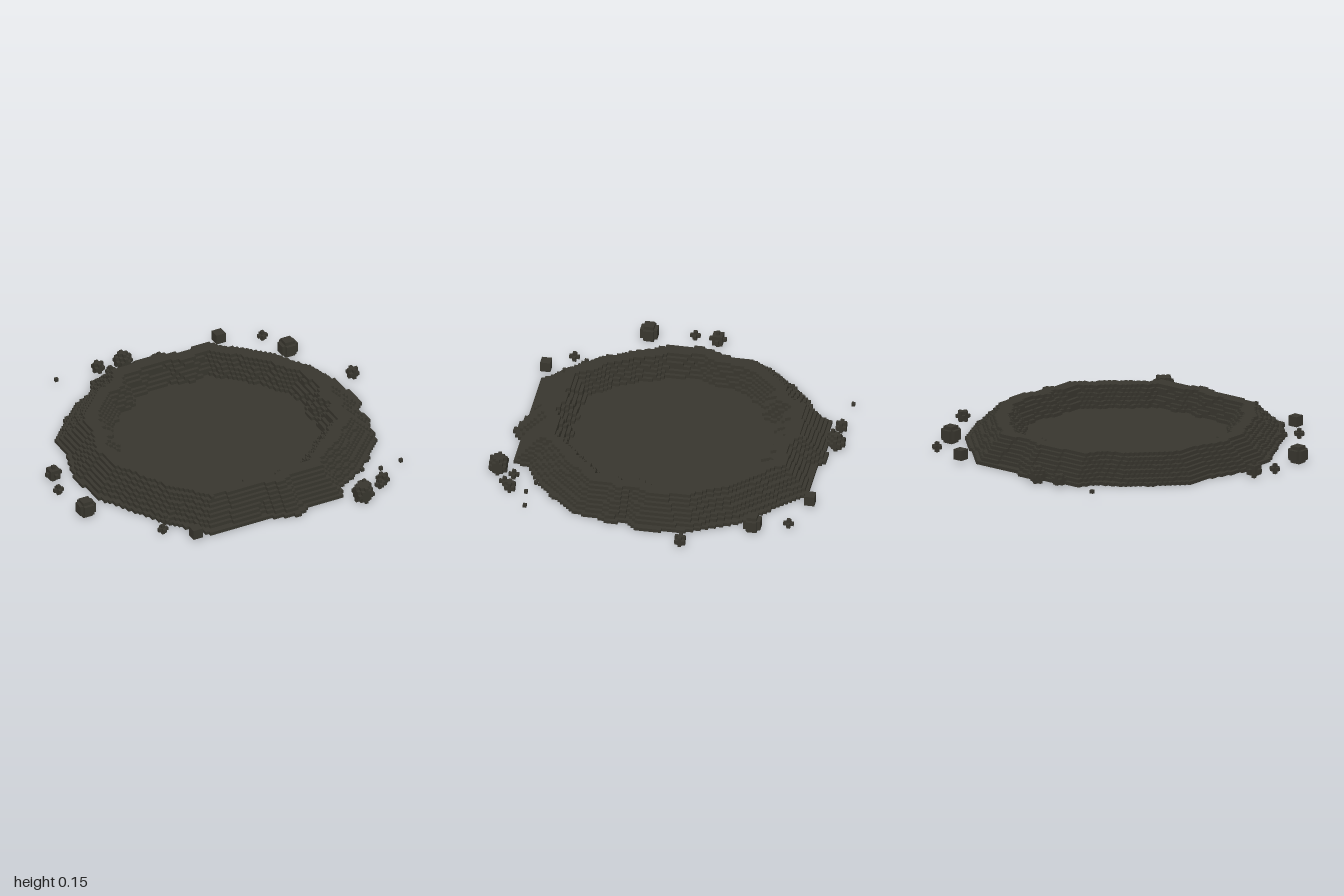
import * as THREE from 'three';

const V = 2 / 107;          // voxel edge
const LEVELS = 8;           // rim height in voxels
const FLOOR = 2;            // crater floor height in voxels

// crater footprint, x/z corners in order of rising angle (from -x round through -z)
const OUTLINE = [
  [-0.83, -0.02], [-0.80, -0.13], [-0.76, -0.25], [-0.76, -0.39], [-0.61, -0.55], [-0.50, -0.65],
  [-0.37, -0.72], [-0.31, -0.82], [-0.19, -0.82], [-0.08, -0.83], [0.04, -0.86], [0.11, -0.81],
  [0.37, -0.82], [0.47, -0.71], [0.62, -0.59], [0.71, -0.49], [0.78, -0.35], [0.84, -0.24],
  [0.86, -0.10], [0.86, 0.04], [0.81, 0.10], [0.84, 0.19], [0.80, 0.26], [0.78, 0.38],
  [0.65, 0.53], [0.55, 0.62], [0.39, 0.71], [0.36, 0.79], [0.15, 0.80], [0.07, 0.85],
  [-0.02, 0.82], [-0.10, 0.79], [-0.43, 0.79], [-0.60, 0.58], [-0.72, 0.36], [-0.81, 0.20],
];

// loose rocks: x, z, radius, centre height
const ROCKS = [
  [-0.25, -0.87, 0.034, 0.04], [-0.18, -0.84, 0.03, 0.03], [-0.09, -0.885, 0.05, 0.045],
  [0.47, -0.84, 0.04, 0.045], [0.685, -0.76, 0.024, 0.03], [0.755, -0.575, 0.052, 0.05],
  [0.955, -0.215, 0.035, 0.037], [-0.935, -0.07, 0.046, 0.05], [-0.975, 0.065, 0.03, 0.035],
  [-0.93, 0.30, 0.056, 0.05], [-0.645, 0.655, 0.026, 0.03], [-0.60, 0.58, 0.03, 0.03],
  [-0.515, 0.78, 0.041, 0.04], [0.445, 0.865, 0.06, 0.055], [0.51, 0.77, 0.026, 0.035],
  [0.58, 0.80, 0.026, 0.03], [0.61, 0.775, 0.032, 0.035], [0.655, 0.665, 0.022, 0.03],
  [0.79, 0.645, 0.022, 0.03], [0.56, 0.63, 0.022, 0.03], [-0.49, -0.89, 0.014, 0.03],
];

// distance from the centre to the footprint edge along the direction (x, z)
function edgeRadius(x, z) {
  for (let i = 0; i < OUTLINE.length; i++) {
    const [ax, az] = OUTLINE[i], [bx, bz] = OUTLINE[(i + 1) % OUTLINE.length];
    if (ax * z - az * x >= 0 && x * bz - z * bx >= 0 && ax * x + az * z > 0) {
      const ex = bx - ax, ez = bz - az;
      return Math.hypot(x, z) * (ax * ez - az * ex) / (x * ez - z * ex);
    }
  }
  return 0.8;
}

// number of stacked voxels at a point of the crater
function craterHeight(x, z) {
  const r = Math.hypot(x, z);
  if (r < 0.3) return FLOOR;
  const a = Math.atan2(z, x);
  const t = r / edgeRadius(x, z);
  if (t > 1) return 0;
  const wob = 0.01 * Math.sin(a * 9 + 1) + 0.007 * Math.sin(a * 23);
  const inner = FLOOR + (t + wob - 0.65) / 0.10 * (LEVELS - FLOOR);
  const outer = LEVELS - (t + wob * 0.6 - 0.82) / 0.16 * (LEVELS - 1);
  return THREE.MathUtils.clamp(Math.round(Math.min(Math.max(inner, FLOOR), outer)), 1, LEVELS);
}

// six cube faces: outward normal and the two edge directions
const FACES = [
  [[1, 0, 0], [0, 1, 0], [0, 0, 1]], [[-1, 0, 0], [0, 0, 1], [0, 1, 0]],
  [[0, 1, 0], [0, 0, 1], [1, 0, 0]], [[0, -1, 0], [1, 0, 0], [0, 0, 1]],
  [[0, 0, 1], [1, 0, 0], [0, 1, 0]], [[0, 0, -1], [0, 1, 0], [1, 0, 0]],
];

// mesh of all exposed faces of a set of voxels [i, j, k]
function voxelMesh(cells, material, name) {
  const key = (i, j, k) => ((i + 100) * 300 + j + 100) * 300 + k + 100;
  const filled = new Set(cells.map((c) => key(...c)));
  const pos = [], nor = [], index = [];
  for (const [i, j, k] of cells) {
    for (const [n, u, w] of FACES) {
      if (filled.has(key(i + n[0], j + n[1], k + n[2]))) continue;
      const base = pos.length / 3;
      const mid = [i, j + 0.5, k];
      for (const [su, sw] of [[-1, -1], [1, -1], [1, 1], [-1, 1]]) {
        for (let d = 0; d < 3; d++) pos.push(V * (mid[d] + 0.5 * (n[d] + su * u[d] + sw * w[d])));
        nor.push(...n);
      }
      index.push(base, base + 1, base + 2, base, base + 2, base + 3);
    }
  }
  const geo = new THREE.BufferGeometry();
  geo.setAttribute('position', new THREE.Float32BufferAttribute(pos, 3));
  geo.setAttribute('normal', new THREE.Float32BufferAttribute(nor, 3));
  geo.setIndex(index);
  const mesh = new THREE.Mesh(geo, material);
  mesh.name = name;
  return mesh;
}

// voxels inside a small ball, never below the ground
function rockCells([x, z, radius, y]) {
  const ci = Math.round(x / V), ck = Math.round(z / V), cj = Math.round(y / V - 0.5);
  const n = Math.ceil(radius / V), r = Math.max(radius / V - 0.25, 0.5), cells = [];
  for (let i = -n; i <= n; i++)
    for (let j = -n; j <= n; j++)
      for (let k = -n; k <= n; k++)
        if (Math.hypot(i, j, k) <= r && cj + j >= 0) cells.push([ci + i, cj + j, ck + k]);
  return cells;
}

export function createModel() {
  const group = new THREE.Group();
  group.name = 'crater';
  const stone = new THREE.MeshStandardMaterial({ color: 0x38362e });
  stone.name = 'dark stone';

  // crater floor, wall, rim and outer slope
  const cells = [];
  for (let i = -53; i <= 53; i++)
    for (let k = -53; k <= 53; k++) {
      const h = craterHeight(i * V, k * V);
      for (let j = 0; j < h; j++) cells.push([i, j, k]);
    }
  group.add(voxelMesh(cells, stone, 'craterBody'));

  // scattered rocks
  const rocks = new THREE.Group();
  rocks.name = 'looseRocks';
  ROCKS.forEach((rock, n) => rocks.add(voxelMesh(rockCells(rock), stone, `rock${n + 1}`)));
  group.add(rocks);
  return group;
}
